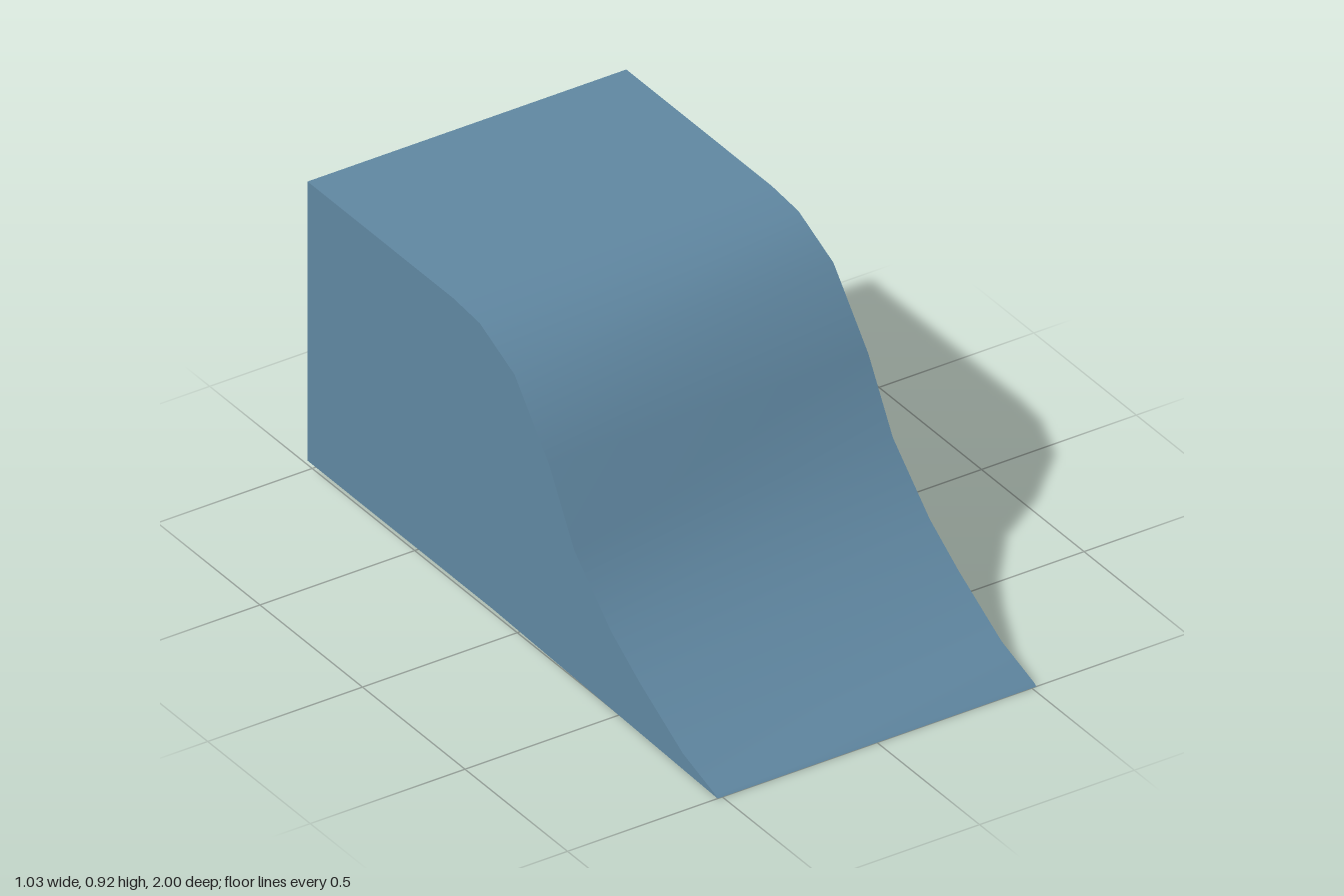
import * as THREE from 'three';
import { toCreasedNormals } from 'three/addons/utils/BufferGeometryUtils.js';

const WIDTH = 1.03;

// Side outline as [z, y], counter-clockwise from the nose
const OUTLINE = [
  [1, 0], [-0.1, 0.03], [-1, 0.03],                            // underside
  [-1, 0.917], [-0.29, 0.917],                                 // back and flat top
  [-0.16, 0.905], [0.01, 0.83], [0.18, 0.63], [0.3, 0.425],    // rounded crest
  [0.48, 0.26], [0.62, 0.17], [0.83, 0.055], [0.99, 0.006],    // sweeping foot
].reverse();

export function createModel() {
  const group = new THREE.Group();
  group.name = 'ramp';

  const shape = new THREE.Shape(OUTLINE.map(([z, y]) => new THREE.Vector2(z, y)));
  const solid = new THREE.ExtrudeGeometry(shape, { depth: WIDTH, bevelEnabled: false });
  solid.translate(0, 0, -WIDTH / 2);
  solid.rotateY(-Math.PI / 2); // outline runs along z, width along x

  // Smooth slope, sharp outer edges
  const body = new THREE.Mesh(
    toCreasedNormals(solid, 0.6),
    new THREE.MeshStandardMaterial({ color: 0x5f86a0 })
  );
  body.name = 'rampBody';
  group.add(body);
  return group;
}
